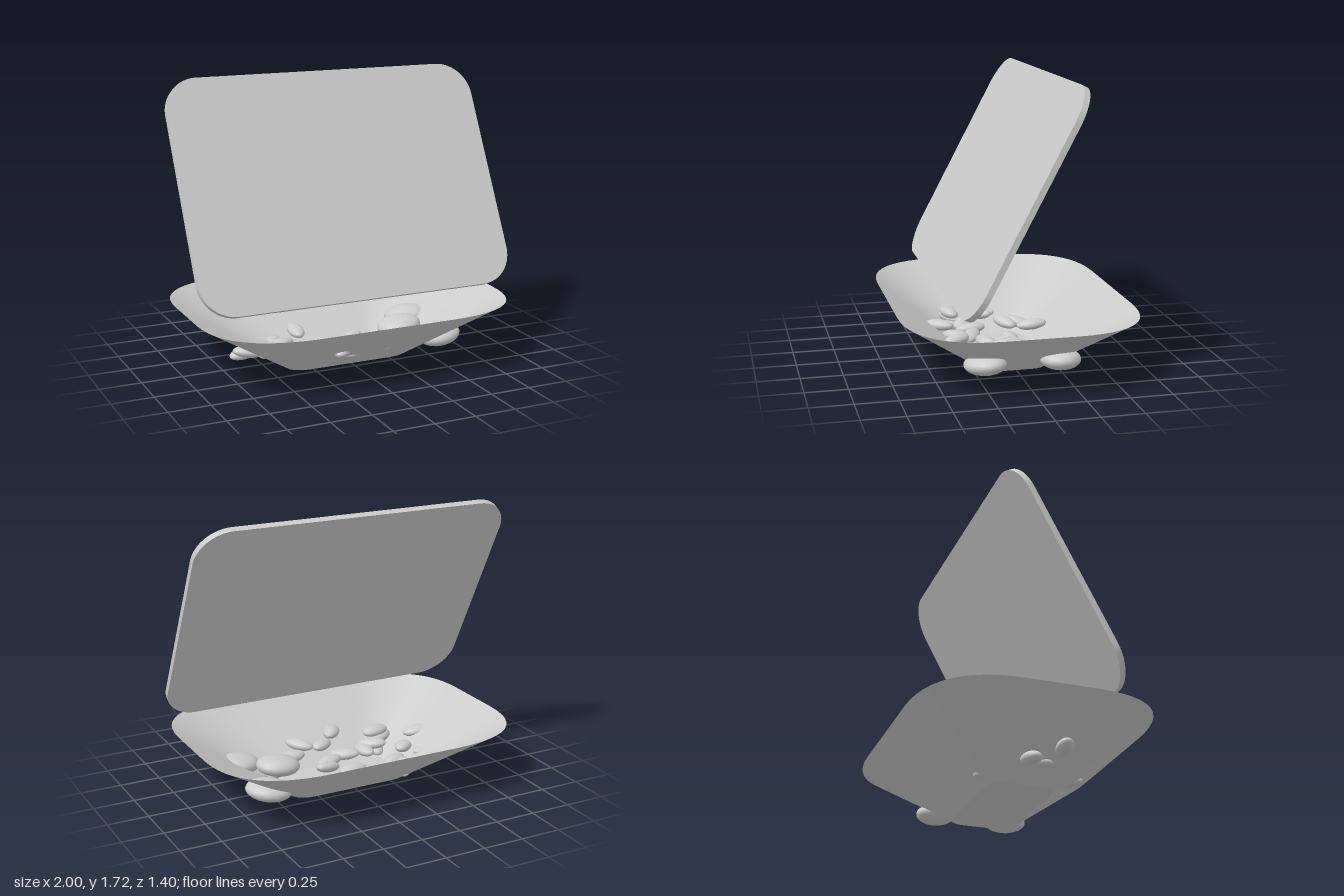
import * as THREE from 'three';
import { toCreasedNormals } from 'three/addons/utils/BufferGeometryUtils.js';

const grey = new THREE.MeshStandardMaterial({ color: 0xcccccc });
const thin = new THREE.MeshStandardMaterial({ color: 0xcccccc, side: THREE.DoubleSide });

// Rounded rectangle: half sizes w, d with corner lengths cx, cz
function roundedOutline(w, d, cx, cz) {
  const s = new THREE.Shape();
  s.moveTo(w, -d + cz);
  s.lineTo(w, d - cz);
  s.quadraticCurveTo(w, d, w - cx, d);
  s.lineTo(-w + cx, d);
  s.quadraticCurveTo(-w, d, -w, d - cz);
  s.lineTo(-w, -d + cz);
  s.quadraticCurveTo(-w, -d, -w + cx, -d);
  s.lineTo(w - cx, -d);
  s.quadraticCurveTo(w, -d, w, -d + cz);
  return s.getPoints(12);
}

// Flared dish: rings lofted from the small base to the wide rim
function dishGeometry() {
  const positions = [], index = [];
  const levels = [0, 0.2, 0.4, 0.6, 0.8, 0.87, 1];
  let n = 0;
  for (const t of levels) {
    const ring = roundedOutline(0.39 + 0.58 * t, 0.2 + 0.5 * t, 0.14 + 0.43 * t, 0.1 + 0.4 * t);
    n = ring.length;
    for (const p of ring) positions.push(p.x, 0.365 * t, p.y);
  }
  for (let r = 0; r < levels.length - 1; r++) {
    for (let i = 0; i < n - 1; i++) {
      const a = r * n + i, b = a + 1, c = a + n, d = b + n;
      index.push(a, c, b, b, c, d);
    }
  }
  // flat base, fanned from its centre
  const centre = positions.length / 3;
  positions.push(0, 0, 0);
  for (let i = 0; i < n - 1; i++) index.push(centre, i, i + 1);
  const g = new THREE.BufferGeometry();
  g.setAttribute('position', new THREE.Float32BufferAttribute(positions, 3));
  g.setIndex(index);
  return toCreasedNormals(g, 0.45);
}

// Flat board with rounded corners, centred on its own middle
function boardGeometry(w, h, r, depth) {
  const s = new THREE.Shape();
  const x = w / 2 - r, y = h / 2 - r;
  s.absarc(x, y, r, 0, Math.PI / 2);
  s.absarc(-x, y, r, Math.PI / 2, Math.PI);
  s.absarc(-x, -y, r, Math.PI, Math.PI * 1.5);
  s.absarc(x, -y, r, Math.PI * 1.5, Math.PI * 2);
  const g = new THREE.ExtrudeGeometry(s, { depth, bevelEnabled: false, curveSegments: 12 });
  g.translate(0, 0, -depth / 2);
  return toCreasedNormals(g, 0.6);
}

export function createModel() {
  const model = new THREE.Group();
  model.name = 'dishWithBoard';

  const add = (name, geometry, material, x = 0, y = 0, z = 0) => {
    const mesh = new THREE.Mesh(geometry, material);
    mesh.name = name;
    mesh.position.set(x, y, z);
    model.add(mesh);
    return mesh;
  };

  add('dish', dishGeometry(), thin);

  // Board leaning back above the dish
  add('board', boardGeometry(2, 1.425, 0.21, 0.036), grey, 0, 1.08, 0.06).rotation.x = -0.486;

  // Large pebbles at the left end
  const pebble = new THREE.SphereGeometry(1, 20, 14);
  const large = [[0.4, 0.14, 0.04, 0.1], [0.58, 0.115, 0.23, 0.3], [0.58, 0.115, -0.215, -0.4]];
  for (const [x, y, z, turn] of large) {
    const m = add('largePebble', pebble, grey, x, y, z);
    m.scale.set(0.14, 0.062, 0.12);
    m.rotation.set(0, turn, 0.12);
  }

  // Small seeds scattered over the floor: x, y, z, turn
  const seeds = [
    [0.22, 0.09, 0.23, 0.1], [0.02, 0.07, 0.1, 0.3], [-0.06, 0.06, -0.07, 0.1],
    [0.13, 0.13, 0.3, -0.9], [-0.13, 0.15, 0.36, 0.9], [-0.02, 0.11, 0.28, 0.7],
    [-0.25, 0.08, 0.14, 1.6], [-0.32, 0.1, 0.17, -0.7], [-0.39, 0.15, 0.25, 0.2],
    [-0.42, 0.11, 0.24, 0.5], [-0.6, 0.075, -0.04, 0.1], [-0.64, 0.145, 0.14, -0.2],
    [-0.36, 0.065, 0.2, 1.4], [-0.35, 0.07, -0.19, 1.1], [-0.33, 0.08, -0.1, 0.5],
    [-0.18, 0.1, -0.24, 1.5], [0.08, 0.08, 0.0, 0.4], [-0.48, 0.1, 0.04, 0.8],
    [0.42, 0.075, 0.08, 1.3], [-0.12, 0.07, 0.16, -0.5],
  ];
  for (const [x, y, z, turn] of seeds) {
    const m = add('smallSeed', pebble, grey, x, y, z);
    m.scale.set(0.095, 0.034, 0.05);
    m.rotation.set(0.2 * Math.sin(x * 20), turn, 0.15 * Math.cos(z * 20));
  }
  return model;
}
